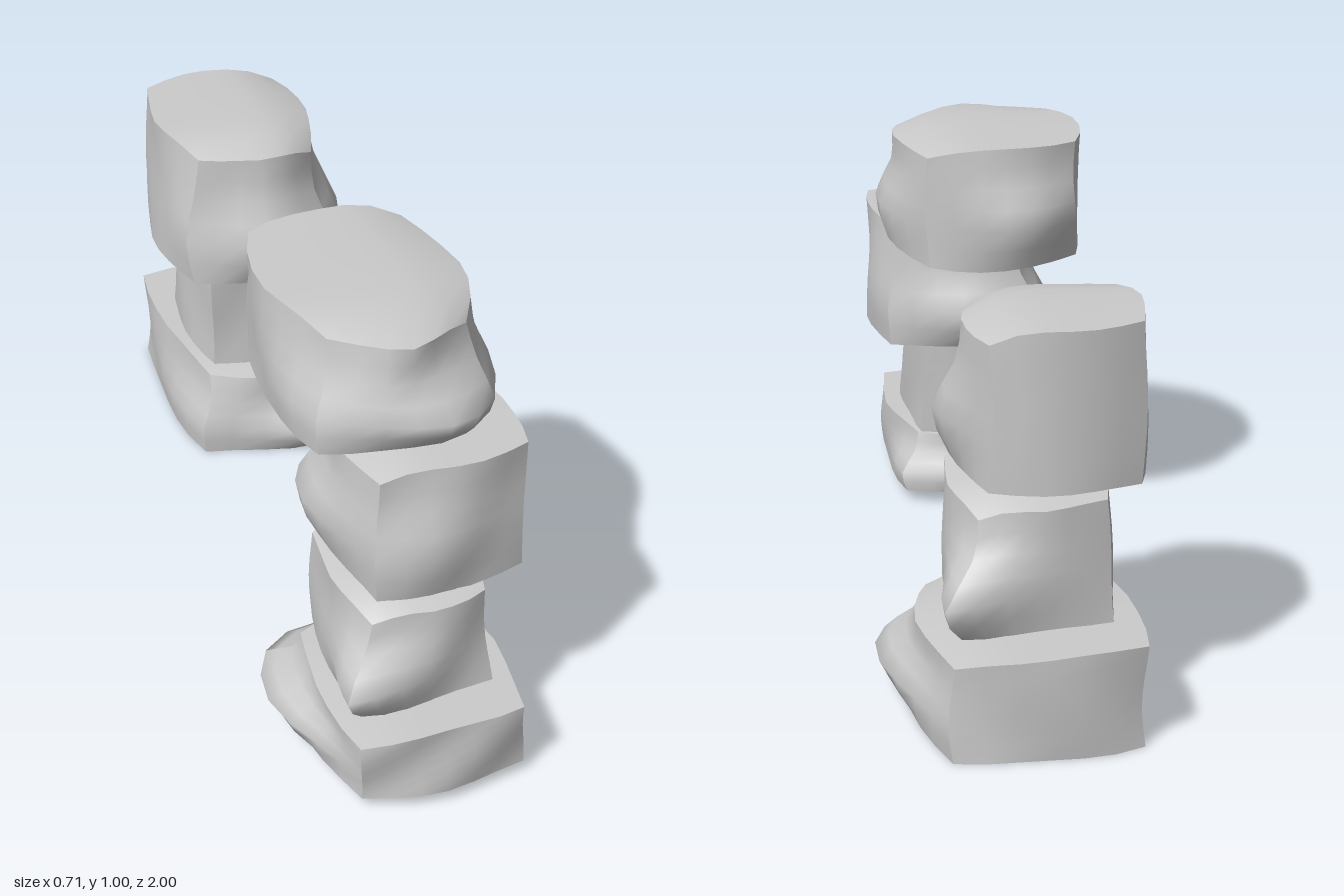
import * as THREE from 'three';

// Each stone: name, box [x0,x1, y0,y1, z0,z1], its rough sides (sign of x and z),
// how far they bulge, where the bulge sits along its side (1 = at the shared corner),
// how far the corners draw in, how far the neighbouring corner flares at mid height,
// and optional extra bulges [axis, sign, amount, centre].
const STONES = [
  { name: 'frontBaseStone', box: [-0.29, 0.125, 0.03, 0.187, 0.48, 0.995], rough: [-1, -1], bulge: [0.075, 0.075], along: 0.5, bow: 0.11, flare: 0.025 },
  { name: 'frontLowerStone', box: [-0.235, 0.085, 0.18, 0.44, 0.5, 0.88], rough: [-1, 1], bulge: [0.065, 0.065], along: 1, bow: 0.1, flare: 0 },
  { name: 'frontUpperStone', box: [-0.2, 0.18, 0.44, 0.74, 0.42, 0.83], rough: [-1, -1], bulge: [0.06, 0.07], along: 0.4, bow: 0.13, flare: 0.02,
    extra: [[2, 1, 0.03, [-0.2, -0.3, 1]], [1, -1, 0.03, [-0.45, -1, 0.9]]] },
  { name: 'frontTopStone', box: [-0.29, 0.15, 0.72, 0.998, 0.15, 0.72], rough: [1, 1], bulge: [0.042, 0.08], along: 0.4, bow: 0.2, flare: 0.02,
    extra: [[2, -1, 0.05, [-0.5, -0.2, -1]], [1, -1, 0.02, [0.5, -1, -1]], [1, 1, 0.02, [0.2, -1, 1]]] },
  { name: 'backBaseStone', box: [-0.175, 0.285, 0, 0.227, -0.99, -0.4], rough: [1, 1], bulge: [0.08, 0.085], along: 0.5, bow: 0.12, flare: 0.025 },
  { name: 'backMiddleStone', box: [-0.13, 0.21, 0.22, 0.52, -0.84, -0.47], rough: [1, -1], bulge: [0.07, 0.065], along: 1, bow: 0.1, flare: 0 },
  { name: 'backTopStone', box: [-0.21, 0.175, 0.515, 0.868, -0.815, -0.38], rough: [1, 1], bulge: [0.05, 0.07], along: 0.4, bow: 0.16, flare: 0.02 },
];

const SEGMENTS = 6;
const material = new THREE.MeshStandardMaterial({ color: 0xcccccc });

// A subdivided cube, warped by rule; the cube edges stay sharp, the faces smooth.
function stoneGeometry({ box, rough, bulge, along, bow, flare, extra = [] }, seed) {
  const geometry = new THREE.BoxGeometry(2, 2, 2, SEGMENTS, SEGMENTS, SEGMENTS);
  const half = [0, 2, 4].map((i) => (box[i + 1] - box[i]) / 2);
  const mid = [0, 2, 4].map((i) => (box[i + 1] + box[i]) / 2);
  const [sx, sz] = rough;
  const bulges = [
    [0, sx, bulge[0], [sx, -0.38, sz * along]],
    [2, sz, bulge[1], [sx * along, -0.38, sz]],
    [0, -sx, flare, [-sx, -0.35, sz]],
    ...extra,
  ];
  const pos = geometry.attributes.position;
  for (let i = 0; i < pos.count; i++) {
    const u = [pos.getX(i), pos.getY(i), pos.getZ(i)];
    const [x, y, z] = u;
    const rx = Math.max(0, x * sx);
    const rz = Math.max(0, z * sz);
    const top = (y + 1) / 2;
    // bowed sides: corners sit a little inside the box
    const p = [x * (1 - bow * z * z), y, z * (1 - bow * x * x)];
    // the top falls away towards the rough sides and draws in at their corners
    p[1] -= 0.18 * (rx ** 3 + rz ** 3) * top;
    p[0] -= x * 0.1 * rz * top;
    p[2] -= sz * 0.1 * rz * Math.abs(x) * top;
    // unevenness
    p[0] += 0.025 * Math.sin(3.1 * z + 2.3 * y + seed) * Math.abs(x);
    p[2] += 0.025 * Math.sin(3.7 * x - 2.1 * y + seed) * Math.abs(z);
    const world = p.map((v, k) => mid[k] + v * half[k]);
    // local bulges, wider than tall
    for (const [axis, sign, amount, c] of bulges) {
      const spread = ((x - c[0]) ** 2 + (z - c[2]) ** 2) / 0.65 + (y - c[1]) ** 2 / 0.3;
      world[axis] += sign * amount * Math.exp(-spread);
    }
    pos.setXYZ(i, ...world);
  }
  geometry.computeVertexNormals();
  return geometry;
}

export function createModel() {
  const model = new THREE.Group();
  model.name = 'stackedStones';
  const stacks = {};
  for (const side of ['front', 'back']) {
    stacks[side] = new THREE.Group();
    stacks[side].name = side + 'Stack';
    model.add(stacks[side]);
  }
  STONES.forEach((stone, i) => {
    const mesh = new THREE.Mesh(stoneGeometry(stone, i * 1.3), material);
    mesh.name = stone.name;
    stacks[stone.name.startsWith('front') ? 'front' : 'back'].add(mesh);
  });
  return model;
}
